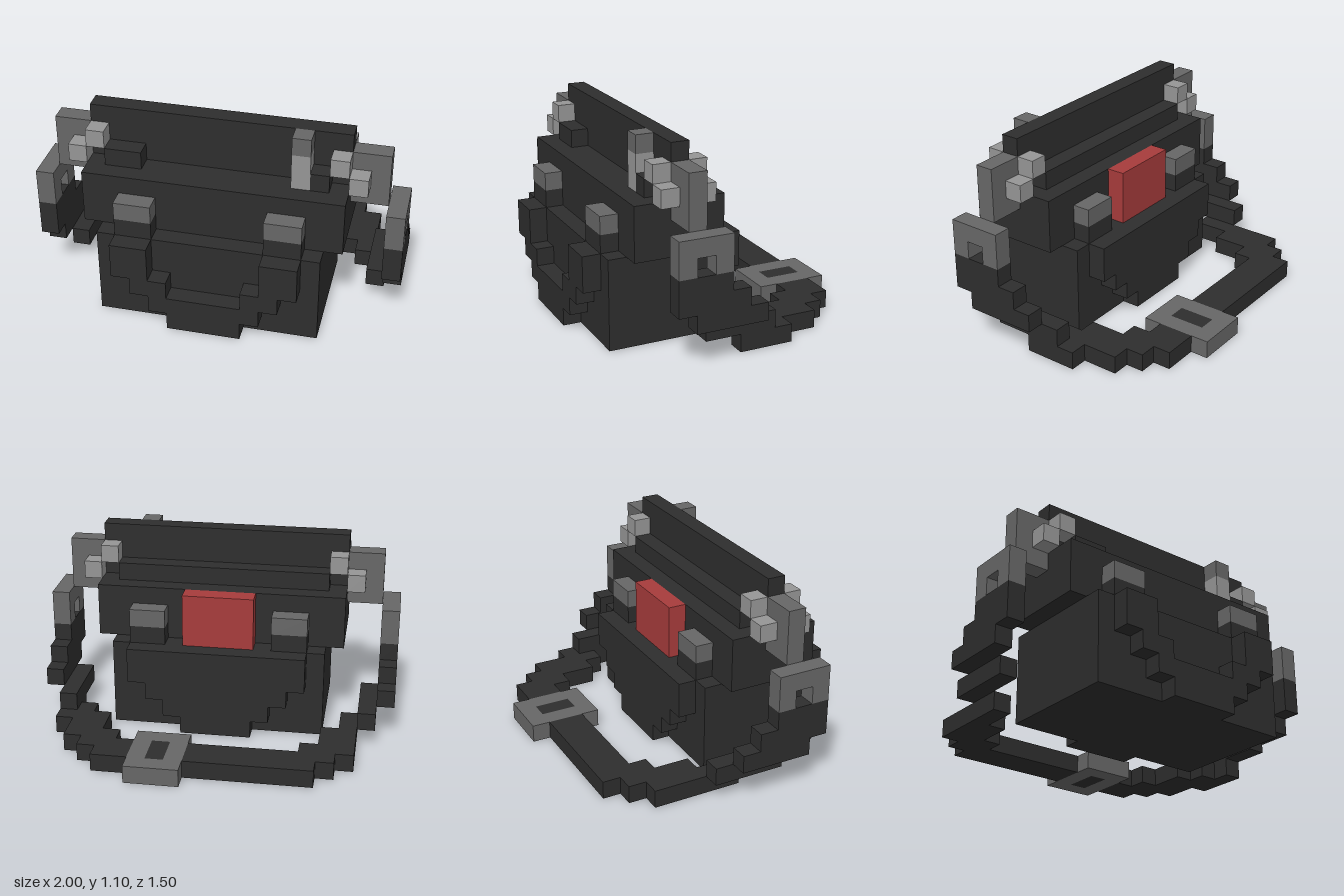
import * as THREE from 'three';

const mat = (name, color) => {
  const m = new THREE.MeshStandardMaterial({ color });
  m.name = name;
  return m;
};

export function createModel() {
  const model = new THREE.Group();
  model.name = 'shoulderBag';
  const fabric = mat('darkFabric', 0x2d2d2d);
  const metal = mat('greyMetal', 0x666666);
  const bright = mat('lightMetal', 0x959595);
  const red = mat('redLabel', 0xa63b3b);

  // Box given by its extents on each axis
  const box = (name, material, x0, x1, y0, y1, z0, z1) => {
    const mesh = new THREE.Mesh(new THREE.BoxGeometry(x1 - x0, y1 - y0, z1 - z0), material);
    mesh.position.set((x0 + x1) / 2, (y0 + y1) / 2, (z0 + z1) / 2);
    mesh.name = name;
    model.add(mesh);
  };
  // The same box on both sides of the bag
  const pair = (name, material, x0, x1, ...rest) => {
    box(name + 'Left', material, x0, x1, ...rest);
    box(name + 'Right', material, -x1, -x0, ...rest);
  };

  // Bag body, wide upper section and closing ridge
  box('body', fabric, -0.6, 0.6, 0, 0.5, -0.05, 0.65);
  box('upperBody', fabric, -0.7, 0.7, 0.5, 0.8, 0.05, 0.55);
  box('topRidge', fabric, -0.7, 0.7, 0.8, 1.1, 0.25, 0.35);
  box('rearZipBand', fabric, -0.6, 0.6, 0.8, 0.9, 0.15, 0.25);
  box('frontZipBandRight', fabric, -0.6, -0.4, 0.8, 0.9, 0.35, 0.45);
  box('frontZipBandLeft', fabric, 0.5, 0.6, 0.8, 0.9, 0.35, 0.45);

  // Zip pull
  box('zipPull', bright, 0.4, 0.5, 0.8, 1.0, 0.35, 0.45);
  box('zipPullTop', metal, 0.4, 0.5, 1.0, 1.1, 0.35, 0.45);

  // Stepped rear pocket and open U-shaped front trim
  [[0.2, 0, 0.1], [0.3, 0.1, 0.2], [0.4, 0.2, 0.3], [0.5, 0.3, 0.5]].forEach(([w, y0, y1]) =>
    box('rearPocket', fabric, -w, w, y0, y1, -0.15, -0.05));
  box('frontTrimBottom', fabric, -0.2, 0.2, 0, 0.1, 0.65, 0.75);
  box('frontTrimLower', fabric, -0.3, 0.3, 0.1, 0.2, 0.65, 0.75);
  pair('frontTrimStep', fabric, 0.2, 0.4, 0.2, 0.3, 0.65, 0.75);
  pair('frontTrimSide', fabric, 0.3, 0.5, 0.3, 0.5, 0.65, 0.75);

  // Pocket clasps front and back
  for (const z of [0.55, -0.05]) {
    pair('claspStrap', fabric, 0.3, 0.5, 0.5, 0.6, z, z + 0.1);
    pair('clasp', metal, 0.3, 0.5, 0.6, 0.7, z, z + 0.1);
  }
  box('rearLabel', red, -0.2, 0.2, 0.5, 0.8, -0.05, 0.05);

  // Side brackets with stepped rivets
  pair('sideBracket', metal, 0.7, 0.9, 0.7, 1.0, 0.25, 0.35);
  for (const z of [0.15, 0.35]) {
    pair('upperRivet', bright, 0.6, 0.7, 0.9, 1.0, z, z + 0.1);
    pair('lowerRivet', bright, 0.7, 0.8, 0.8, 0.9, z, z + 0.1);
  }

  // Strap rings
  pair('ringTop', metal, 0.9, 1.0, 0.6, 0.7, 0.15, 0.45);
  pair('ringFront', metal, 0.9, 1.0, 0.5, 0.6, 0.35, 0.45);
  pair('ringBack', metal, 0.9, 1.0, 0.5, 0.6, 0.15, 0.25);

  // Strap falling from the rings towards the back
  pair('strapUpper', fabric, 0.9, 1.0, 0.4, 0.5, 0.15, 0.45);
  pair('strapMiddle', fabric, 0.9, 1.0, 0.3, 0.4, 0.05, 0.45);
  pair('strapLower', fabric, 0.9, 1.0, 0.2, 0.3, -0.05, 0.35);
  pair('strapFoot', fabric, 0.8, 0.9, 0.1, 0.2, -0.15, 0.25);

  // Strap lying on the ground, curving round behind the bag
  box('strapBendLeft', fabric, 0.8, 0.9, 0, 0.1, -0.25, 0.05);
  box('strapInnerLeft', fabric, 0.7, 0.8, 0, 0.1, -0.45, -0.05);
  box('strapBendRight', fabric, -0.8, -0.7, 0, 0.1, -0.45, 0.05);
  pair('strapSide', fabric, 0.6, 0.7, 0, 0.1, -0.55, -0.15);
  pair('strapCorner', fabric, 0.5, 0.6, 0, 0.1, -0.65, -0.35);
  [[-0.5, 0.1], [0.2, 0.3], [0.4, 0.5]].forEach(([a, b]) =>
    box('strapBack', fabric, a, b, 0, 0.1, -0.65, -0.45));

  // Strap buckle framing the strap
  box('buckleSideLeft', metal, 0.3, 0.4, 0, 0.1, -0.75, -0.35);
  box('buckleSideRight', metal, 0.1, 0.2, 0, 0.1, -0.75, -0.35);
  box('buckleBack', metal, 0.2, 0.3, 0, 0.1, -0.75, -0.65);
  box('buckleFront', metal, 0.2, 0.3, 0, 0.1, -0.45, -0.35);

  return model;
}
